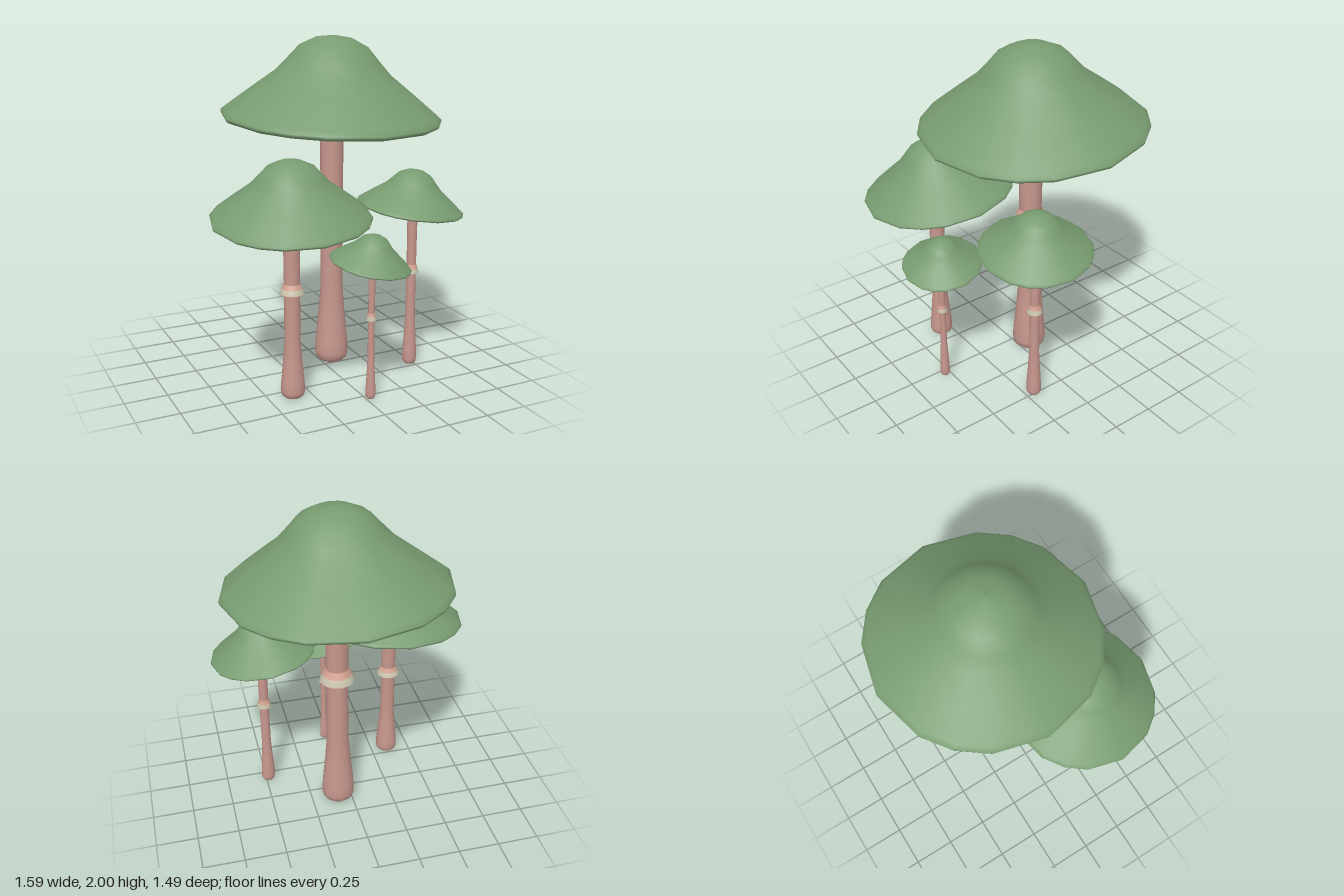
import * as THREE from 'three';

const mat = (name, color, side = THREE.FrontSide) => {
  const m = new THREE.MeshStandardMaterial({ color, side });
  m.name = name;
  return m;
};

// Profiles of a full-size mushroom as [radius, height]; cap heights are measured from the rim
const CAP = [[0.605, 0], [0.638, -0.022], [0.652, -0.012], [0.655, 0.003], [0.63, 0.025], [0.48, 0.143],
  [0.34, 0.25], [0.27, 0.325], [0.2, 0.405], [0.11, 0.45], [0, 0.467]];
const GILLS = [[0, 0.26], [0.2, 0.205], [0.42, 0.1], [0.605, 0]];
const STEM = [[0, 0], [0.075, 0], [0.095, 0.02], [0.103, 0.055], [0.098, 0.13], [0.082, 0.3],
  [0.068, 0.47], [0.066, 0.9], [0.071, 1.5], [0.071, 1.82]];
const COLLAR = [[0.086, 0.945], [0.068, 0.985]];
const SKIRT = [[0.06, 0.925], [0.098, 0.9], [0.104, 0.903], [0.086, 0.945]];

// Round part turned from a profile; the 16 sides alternate long and short around the rim
function turned(name, profile, material, rScale, hScale) {
  const pts = profile.map(([r, y]) => new THREE.Vector2(r * rScale, y * hScale));
  const geo = new THREE.LatheGeometry(pts, 16);
  const up = new THREE.Vector3(0, 1, 0);
  const v = new THREE.Vector3();
  const { position, normal, uv } = geo.attributes;
  for (let i = 0; i < position.count; i++) {
    const turn = 0.09 * Math.sin(4 * uv.getX(i) * Math.PI * 2);
    for (const attr of [position, normal]) {
      v.fromBufferAttribute(attr, i).applyAxisAngle(up, turn);
      attr.setXYZ(i, v.x, v.y, v.z);
    }
  }
  const mesh = new THREE.Mesh(geo, material);
  mesh.name = name;
  return mesh;
}

export function createModel() {
  const green = mat('cap green', 0x789c71);
  const gill = mat('gill beige', 0xb5aa9a, THREE.DoubleSide);
  const pink = mat('stem pink', 0xc7978d);
  const collarPink = mat('collar pink', 0xd6a493, THREE.DoubleSide);
  const cream = mat('skirt cream', 0xcdc7b0, THREE.DoubleSide);

  const model = new THREE.Group();
  model.name = 'mushroomCluster';

  // stem position, cap position (centre of rim), cap size, stem thickness, cap slopes along x and z
  const mushrooms = [
    { name: 'tallMushroom', stem: [0.08, -0.075], cap: [0.08, 1.534, -0.09], size: 1, thick: 1, tilt: [-0.019, -0.061] },
    { name: 'leftOuterMushroom', stem: [-0.355, 0.313], cap: [-0.347, 1.05, 0.29], size: 0.687, thick: 0.68, tilt: [0.05, -0.115] },
    { name: 'rightOuterMushroom', stem: [0.485, 0.197], cap: [0.472, 0.996, 0.187], size: 0.488, thick: 0.43, tilt: [-0.118, -0.062] },
    { name: 'smallMushroom', stem: [0.03, 0.53], cap: [0.027, 0.798, 0.515], size: 0.353, thick: 0.28, tilt: [-0.14, -0.13] },
  ];

  for (const { name, stem, cap, size, thick, tilt } of mushrooms) {
    const group = new THREE.Group();
    group.name = name;
    const h = cap[1] / 1.534;

    // Stem with its ring; the top ends inside the cap
    const stemGroup = new THREE.Group();
    stemGroup.name = 'stemWithRing';
    stemGroup.position.set(stem[0], 0, stem[1]);
    const stemProfile = STEM.slice(0, -1);
    stemProfile.push([0.071, (cap[1] + 0.29 * size) / h]);
    stemGroup.add(
      turned('stem', stemProfile, pink, thick, h),
      turned('ringCollar', COLLAR, collarPink, thick, h),
      turned('ringSkirt', SKIRT, cream, thick, h),
    );

    // Tilted hollow cap
    const capGroup = new THREE.Group();
    capGroup.name = 'capWithGills';
    capGroup.position.set(...cap);
    capGroup.rotation.set(-tilt[1], 0, tilt[0]);
    capGroup.add(
      turned('cap', CAP, green, size, size),
      turned('gills', GILLS, gill, size, size),
    );

    group.add(stemGroup, capGroup);
    model.add(group);
  }
  return model;
}
